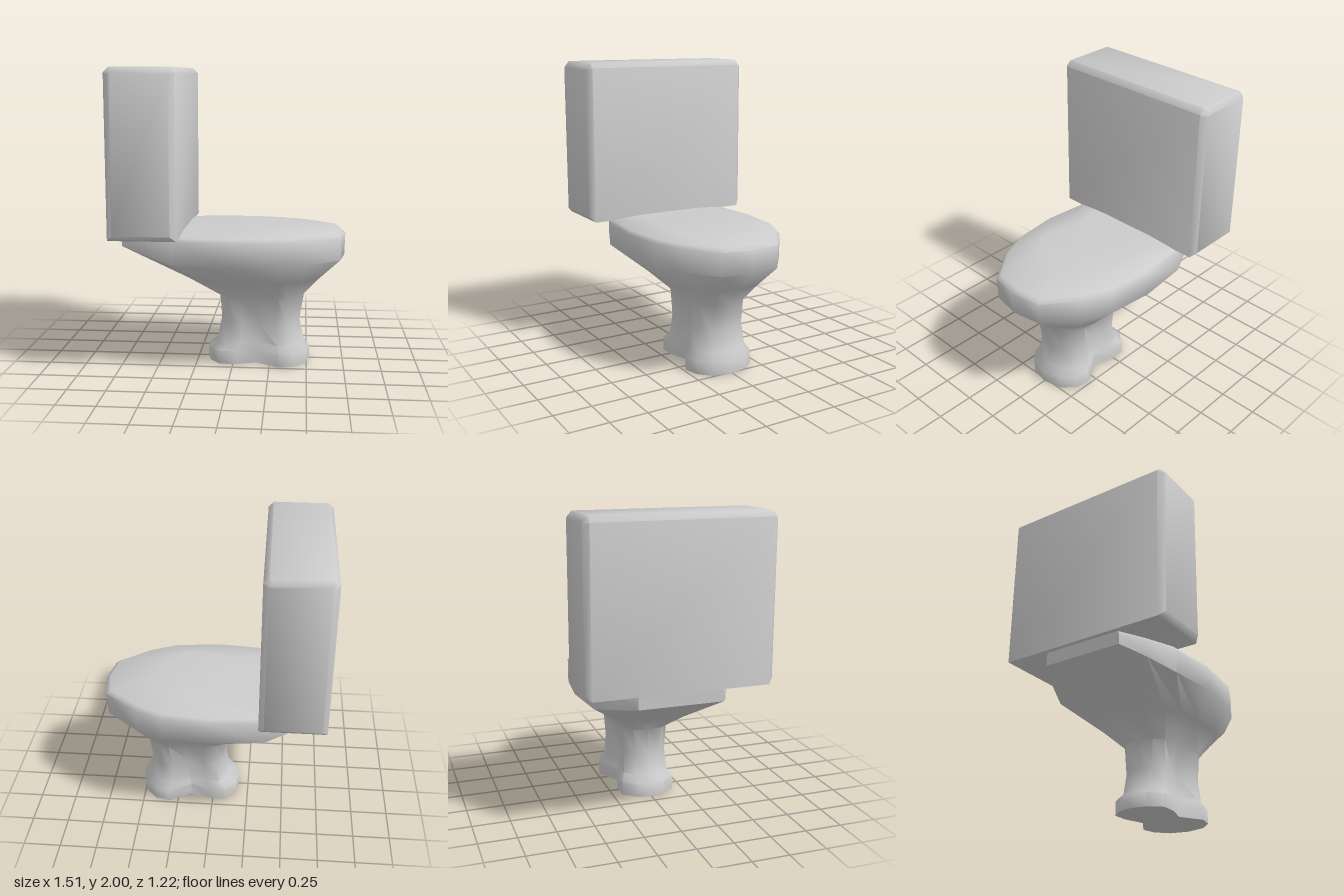
import * as THREE from 'three';
import { toCreasedNormals } from 'three/addons/utils/BufferGeometryUtils.js';

const CREASE = 0.95;
const material = new THREE.MeshStandardMaterial({ color: 0xcccccc });

// Half outlines [x, z] from the front tip round to the back
const RIM = [[0.755, 0], [0.72, 0.2], [0.5, 0.375], [0.32, 0.455], [0, 0.49],
  [-0.36, 0.455], [-0.56, 0.37], [-0.73, 0.28], [-0.73, 0]];
const FOOT = [[0.52, 0], [0.49, 0.13], [0.41, 0.21], [0.31, 0.235], [0.16, 0.14],
  [0.02, 0.185], [-0.09, 0.185], [-0.16, 0.1], [-0.18, 0]];

// Scale an outline to run 0..1 in x and in half width
function normalise(outline) {
  const front = outline[0][0], back = outline[outline.length - 1][0];
  const half = Math.max(...outline.map((p) => p[1]));
  return outline.map(([x, z]) => [(x - back) / (front - back), z / half]);
}
const rimUnit = normalise(RIM), footUnit = normalise(FOOT);

// Levels from top to bottom: height, back x, front x, half width, share of rim shape
const LEVELS = [
  [0.948, -0.05, 0.36, 0.3, 1],
  [0.92, -0.73, 0.725, 0.47, 1],
  [0.895, -0.73, 0.755, 0.49, 1],
  [0.74, -0.73, 0.75, 0.49, 1],
  [0.6, -0.3, 0.6, 0.345, 0.8],
  [0.465, -0.1, 0.48, 0.205, 0.5],
  [0.28, -0.09, 0.45, 0.19, 0.1],
  [0.14, -0.12, 0.48, 0.2, 0],
  [0.09, -0.18, 0.52, 0.235, 0],
  [0, -0.18, 0.52, 0.235, 0],
];

function ring([y, back, front, half, share]) {
  const side = rimUnit.map(([u, w], i) => {
    const x = back + (front - back) * THREE.MathUtils.lerp(footUnit[i][0], u, share);
    const z = half * THREE.MathUtils.lerp(footUnit[i][1], w, share);
    // the underside of the rim rises toward the rear shelf
    const lift = y === 0.74 ? 0.09 * THREE.MathUtils.clamp((-0.36 - x) / 0.37, 0, 1) : 0;
    return [x, y + lift, z];
  });
  const mirrored = side.slice(1, -1).reverse().map(([x, py, z]) => [x, py, -z]);
  return [...side, ...mirrored];
}

function bowlGeometry() {
  const rings = LEVELS.map(ring);
  const n = rings[0].length, last = rings.length - 1;
  const positions = [...rings.flat(), [0.15, 0.948, 0], [0.17, 0, 0]].flat();
  const top = rings.length * n, bottom = top + 1;
  const index = [];
  for (let j = 0; j < n; j++) {
    const k = (j + 1) % n;
    for (let i = 0; i < last; i++) {
      const a = i * n + j, b = i * n + k, c = a + n, d = b + n;
      index.push(a, b, c, b, d, c);
    }
    index.push(top, k, j, bottom, last * n + j, last * n + k);
  }
  const geometry = new THREE.BufferGeometry();
  geometry.setAttribute('position', new THREE.Float32BufferAttribute(positions, 3));
  geometry.setIndex(index);
  return toCreasedNormals(geometry, CREASE);
}

// Slab with chamfered top and side edges
function tankGeometry() {
  const x0 = -0.76, x1 = -0.322, y0 = 0.92, y1 = 2, c = 0.035, depth = 1.22;
  const shape = new THREE.Shape([[x0, y0], [x1, y0], [x1, y1 - c], [x1 - c, y1], [x0 + c, y1], [x0, y1 - c]]
    .map(([x, y]) => new THREE.Vector2(x, y)));
  const geometry = new THREE.ExtrudeGeometry(shape, {
    depth: depth - 2 * c, bevelEnabled: true, bevelSegments: 1,
    bevelSize: c, bevelOffset: -c, bevelThickness: c,
  });
  geometry.translate(0, 0, c - depth / 2);
  return toCreasedNormals(geometry, CREASE);
}

export function createModel() {
  const group = new THREE.Group();
  group.name = 'toilet';
  const parts = { bowlAndPedestal: bowlGeometry(), tank: tankGeometry() };
  for (const [name, geometry] of Object.entries(parts)) {
    const mesh = new THREE.Mesh(geometry, material);
    mesh.name = name;
    group.add(mesh);
  }
  return group;
}
